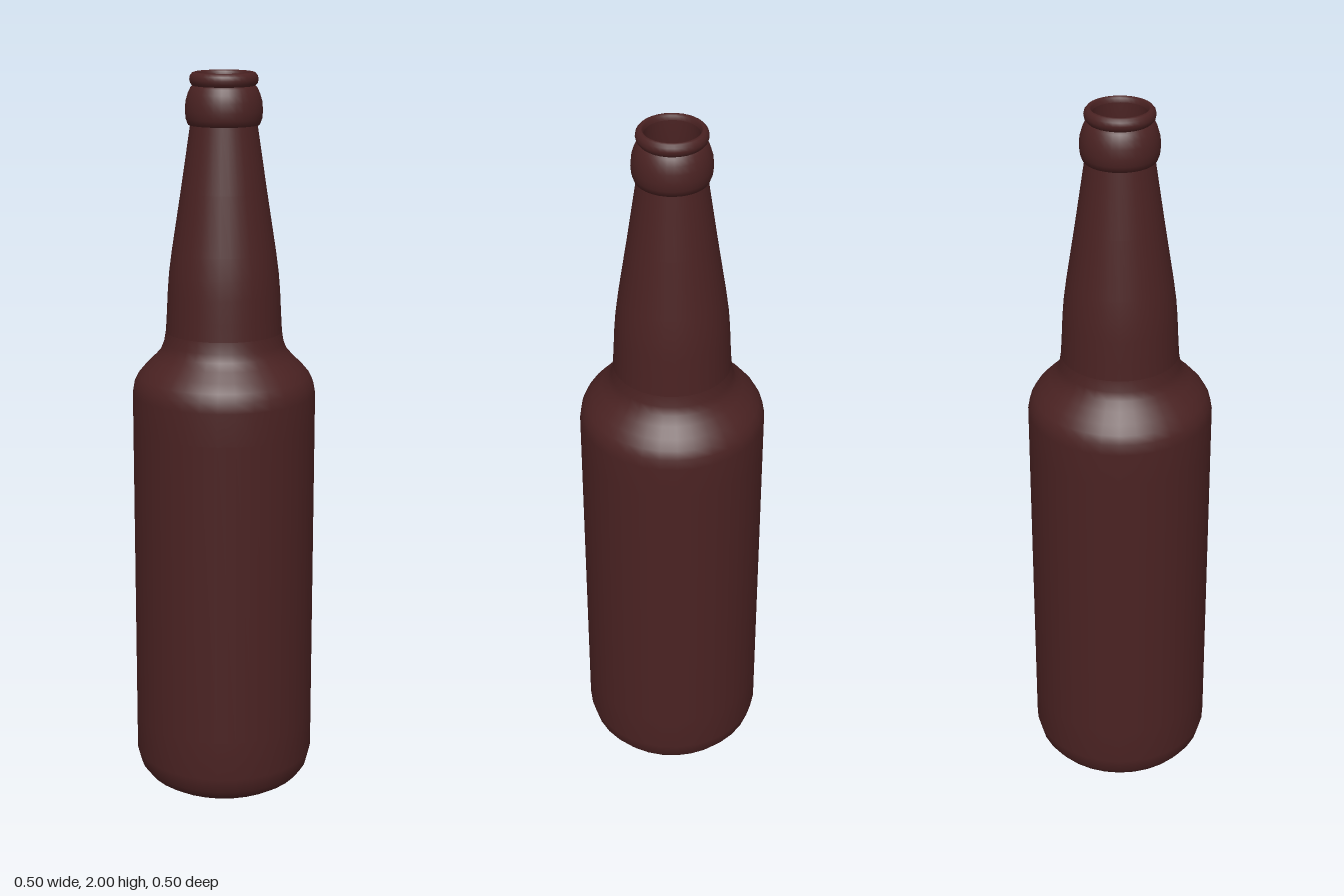
import * as THREE from 'three';

const SIDES = 32;

export function createModel() {
  const bottle = new THREE.Group();
  bottle.name = 'bottle';

  const brownGlass = new THREE.MeshStandardMaterial({ color: 0x4a2222 });
  brownGlass.name = 'brown glass';

  // Turns a profile of [radius, height] pairs; listed upwards, it faces outwards.
  function turn(name, profile) {
    const points = profile.map(([r, y]) => new THREE.Vector2(r, y));
    const mesh = new THREE.Mesh(new THREE.LatheGeometry(points, SIDES), brownGlass);
    mesh.name = name;
    bottle.add(mesh);
  }

  // Hollow base, rounded heel, straight body and shoulder
  turn('body', [
    [0, 0.09], [0.03, 0.085], [0.08, 0.055], [0.125, 0.02], [0.15, 0.004],
    [0.17, 0], [0.195, 0.006], [0.22, 0.022], [0.239, 0.047], [0.25, 0.09],
    [0.25, 0.2], [0.25, 1.05], [0.25, 1.14], [0.245, 1.168], [0.234, 1.19],
    [0.215, 1.213], [0.19, 1.237], [0.172, 1.258], [0.163, 1.28], [0.158, 1.31],
  ]);

  // Tapering neck
  turn('neck', [
    [0.158, 1.31], [0.155, 1.36], [0.152, 1.42], [0.148, 1.47],
    [0.14, 1.53], [0.115, 1.69], [0.089, 1.865],
  ]);

  // Bulging collar under the mouth
  turn('collar', [
    [0.086, 1.864], [0.095, 1.864], [0.101, 1.88], [0.103, 1.9],
    [0.101, 1.925], [0.095, 1.945], [0.088, 1.96], [0.083, 1.965],
  ]);

  // Rounded lip
  turn('lip', [
    [0.083, 1.965], [0.089, 1.972], [0.091, 1.981], [0.089, 1.991],
    [0.083, 1.998], [0.077, 2], [0.072, 1.996], [0.07, 1.985],
  ]);

  // Inner wall, listed downwards so that it faces inwards
  turn('innerWall', [
    [0.07, 1.985], [0.07, 1.87], [0.1, 1.69], [0.13, 1.47], [0.14, 1.31],
    [0.155, 1.25], [0.2, 1.205], [0.23, 1.14], [0.23, 0.1], [0.205, 0.045],
    [0.17, 0.025], [0.125, 0.045], [0.08, 0.08], [0.03, 0.108], [0, 0.112],
  ]);

  return bottle;
}
